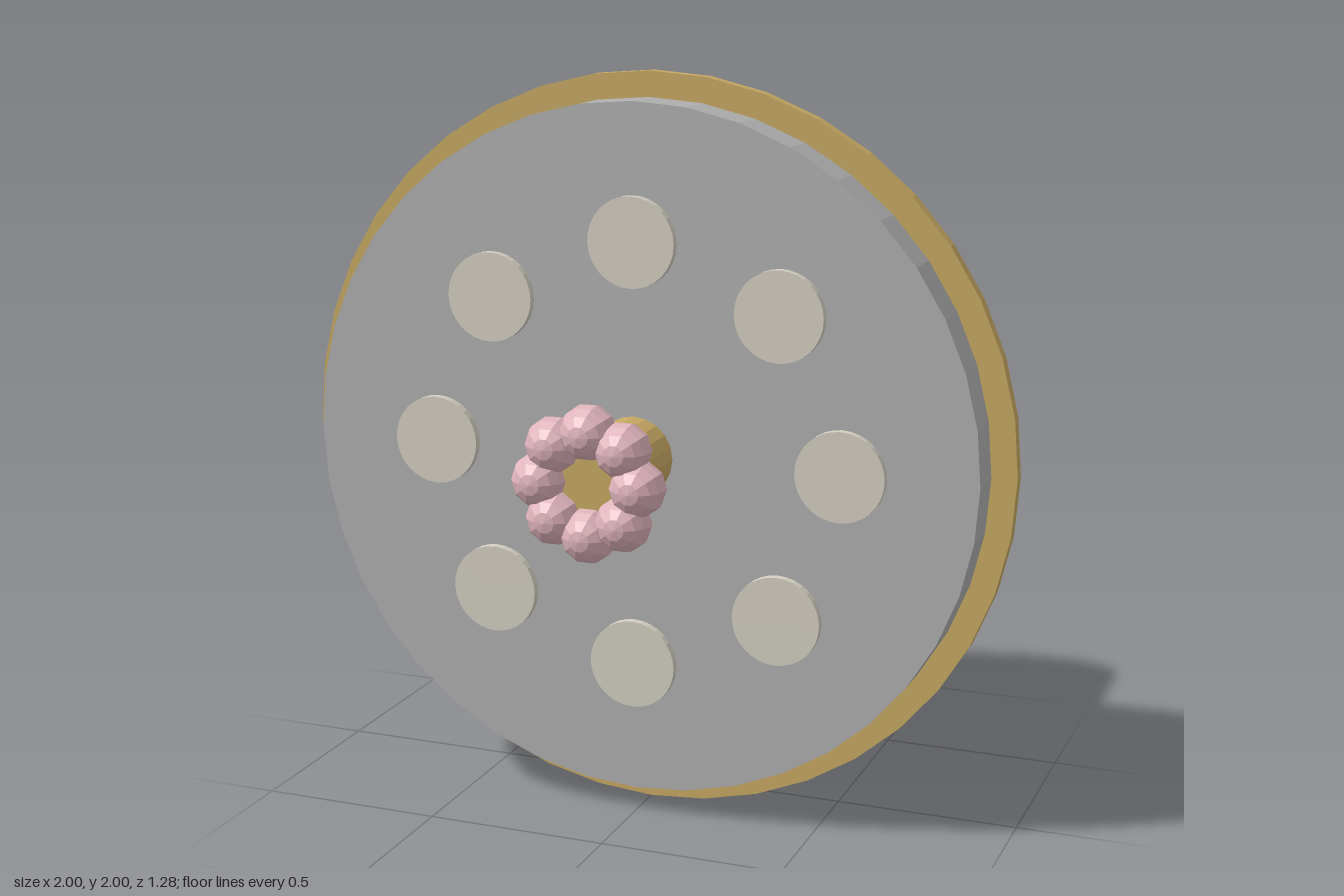
import * as THREE from 'three';

const mat = (color) => new THREE.MeshStandardMaterial({ color, flatShading: true });

export function createModel() {
  const model = new THREE.Group();
  model.name = 'dialValve';
  const brass = mat(0xc8a963);
  const steel = mat(0xb0b0b0);
  const ivory = mat(0xd4cfc2);
  const pink = mat(0xe0b4bd);

  // Cylinder along z from z0 to z1
  function disc(name, radius, z0, z1, sides, material, x = 0, y = 1) {
    const geo = new THREE.CylinderGeometry(radius, radius, z1 - z0, sides).rotateX(Math.PI / 2);
    const mesh = new THREE.Mesh(geo, material);
    mesh.name = name;
    mesh.position.set(x, y, (z0 + z1) / 2);
    model.add(mesh);
  }

  disc('barrel', 0.355, -0.64, 0.12, 24, brass);
  disc('rimFlange', 1, 0.107, 0.143, 40, brass);
  disc('facePlate', 0.932, 0.142, 0.26, 40, steel);
  disc('spindle', 0.108, 0.25, 0.57, 20, brass);

  // Ring of flat studs and ring of handwheel beads
  const beadGeo = new THREE.SphereGeometry(0.073, 10, 8).rotateX(Math.PI / 2);
  const handwheel = new THREE.Group();
  handwheel.name = 'handwheel';
  handwheel.position.set(0, 1, 0.567);
  model.add(handwheel);
  for (let i = 0; i < 8; i++) {
    const a = (i * Math.PI) / 4;
    const c = Math.cos(a), s = Math.sin(a);
    disc('stud', 0.12, 0.25, 0.283, 32, ivory, c * 0.571, 1 + s * 0.571);
    const bead = new THREE.Mesh(beadGeo, pink);
    bead.name = 'bead';
    bead.position.set(c * 0.134, s * 0.134, 0);
    handwheel.add(bead);
  }

  return model;
}
